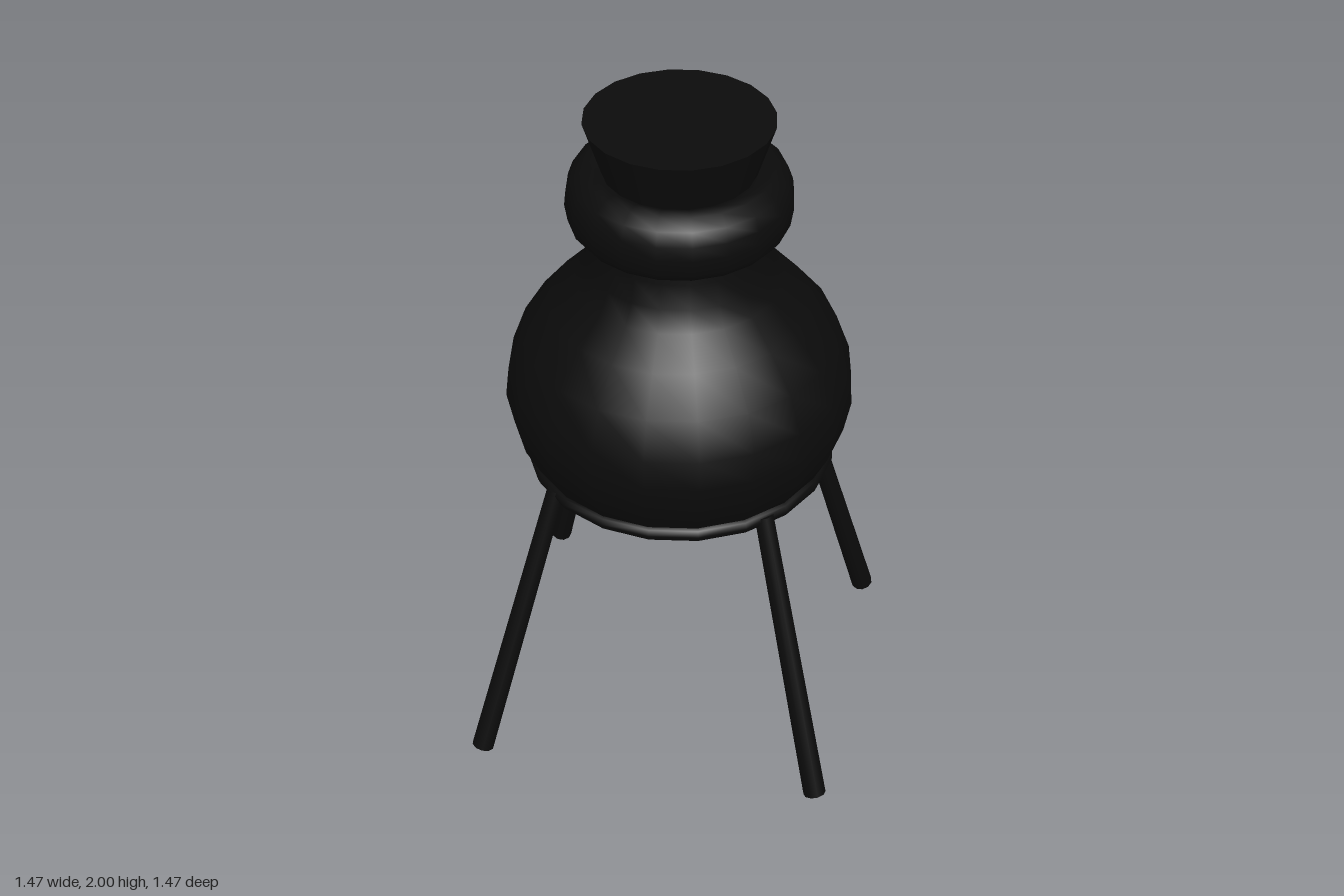
import * as THREE from 'three';

const SIDES = 20;

export function createModel() {
  const model = new THREE.Group();
  const black = new THREE.MeshStandardMaterial({ color: 0x0b0b0b });
  black.name = 'black';
  const tan = new THREE.MeshStandardMaterial({ color: 0xb08245 });
  tan.name = 'tan';

  const add = (parent, name, geometry, material = black) => {
    const mesh = new THREE.Mesh(geometry, material);
    mesh.name = name;
    parent.add(mesh);
    return mesh;
  };
  const lathe = (points) =>
    new THREE.LatheGeometry(points.map(([r, y]) => new THREE.Vector2(r, y)), SIDES);

  const jar = new THREE.Group();
  jar.name = 'jar';
  jar.position.z = -0.005;
  model.add(jar);

  // Round belly narrowing into the neck
  add(jar, 'body', lathe([
    [0, 0.735], [0.12, 0.745], [0.23, 0.775], [0.33, 0.825], [0.4, 0.88],
    [0.44, 0.94], [0.48, 1.02], [0.5, 1.12], [0.49, 1.21], [0.45, 1.32],
    [0.37, 1.42], [0.295, 1.5], [0.265, 1.56], [0.25, 1.63], [0.245, 1.7],
  ]));

  // Rolled lip around the mouth
  add(jar, 'lip', lathe([
    [0.22, 1.67], [0.285, 1.67], [0.308, 1.7], [0.316, 1.75], [0.312, 1.79],
    [0.298, 1.83], [0.265, 1.855], [0.235, 1.86], [0.2, 1.84],
  ]));

  // Flared stopper
  const stopper = add(jar, 'stopper', new THREE.CylinderGeometry(0.263, 0.205, 0.18, SIDES));
  stopper.position.y = 1.91;

  // Stand: a ring under the belly and four splayed legs
  const stand = new THREE.Group();
  stand.name = 'stand';
  model.add(stand);
  const ring = add(stand, 'ring', new THREE.TorusGeometry(0.425, 0.024, 8, SIDES));
  ring.rotation.x = Math.PI / 2;
  ring.position.y = 0.915;

  const up = new THREE.Vector3(0, 1, 0);
  for (let i = 0; i < 4; i++) {
    const leg = new THREE.Group();
    leg.name = 'leg' + (i + 1);
    // The leg on the left side reaches slightly lower than the others
    const top = new THREE.Vector3(0.425, 0.92, 0);
    const foot = new THREE.Vector3(0.715, i === 0 ? 0.01 : 0.055, 0);
    const axis = top.clone().sub(foot);
    const length = axis.length();
    const pivot = new THREE.Group();
    pivot.name = 'splayedLeg';
    pivot.position.copy(top).add(foot).multiplyScalar(0.5);
    pivot.quaternion.setFromUnitVectors(up, axis.normalize());
    add(pivot, 'legRod', new THREE.CylinderGeometry(0.027, 0.033, length, 10));
    const core = add(pivot, 'footCore', new THREE.CylinderGeometry(0.02, 0.02, 0.004, 10), tan);
    core.position.y = -length / 2;
    leg.add(pivot);
    leg.rotation.y = THREE.MathUtils.degToRad(9.2) + i * Math.PI / 2;
    stand.add(leg);
  }
  return model;
}
